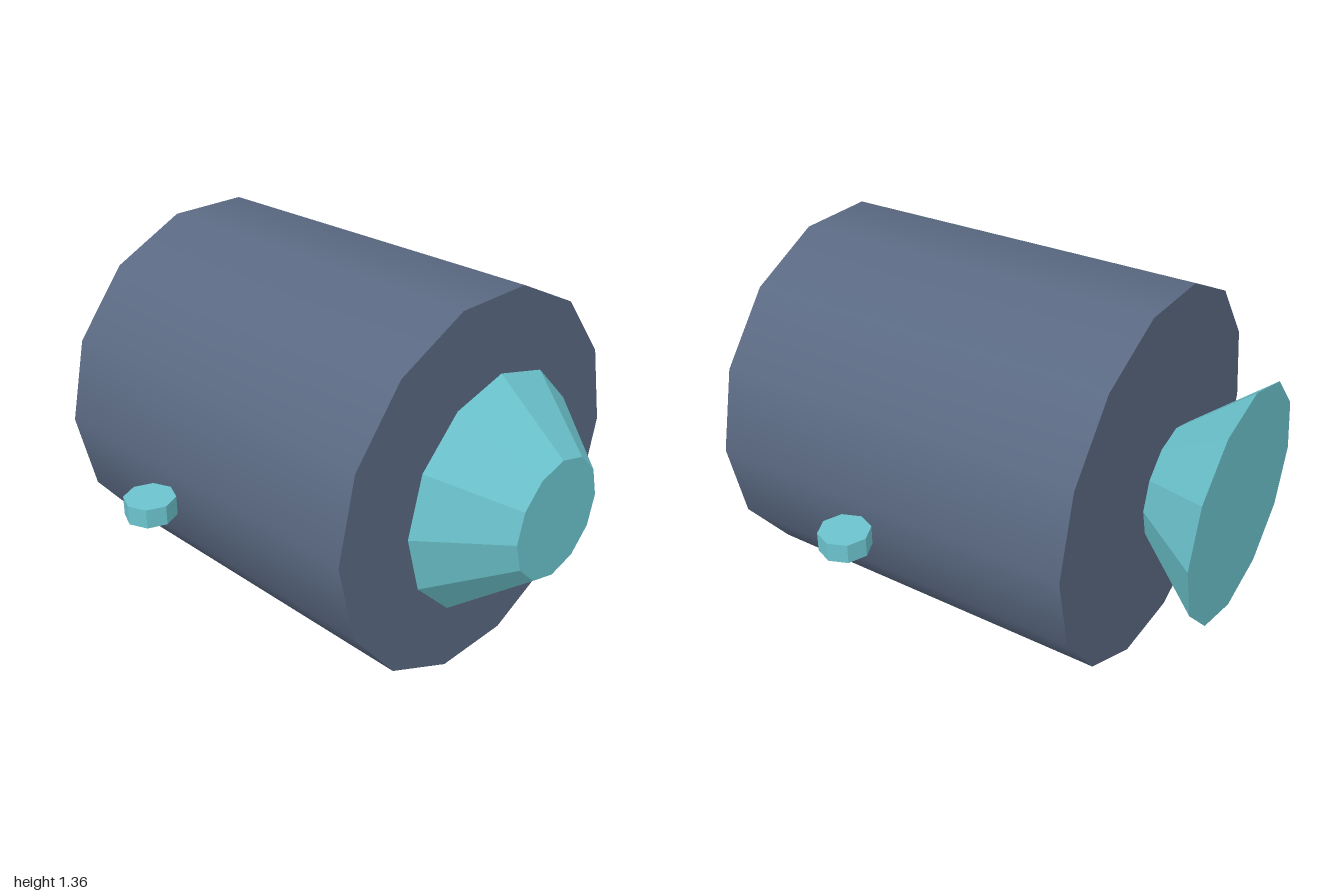
import * as THREE from 'three';

export function createModel() {
  const model = new THREE.Group();
  const slate = new THREE.MeshStandardMaterial({ color: 0x5a6982, name: 'slate blue' });
  const teal = new THREE.MeshStandardMaterial({ color: 0x6cc4ce, name: 'teal' });
  const axisY = 0.678;

  const add = (name, geometry, material, x, z) => {
    const mesh = new THREE.Mesh(geometry, material);
    mesh.name = name;
    mesh.position.set(x, axisY, z);
    model.add(mesh);
  };

  // Flat normals, one per face
  const faceted = (geometry) => {
    const flat = geometry.toNonIndexed();
    flat.computeVertexNormals();
    return flat;
  };

  // Drum lying along x, smooth around its side
  add('body', new THREE.CylinderGeometry(0.695, 0.695, 1.39, 14).rotateZ(-Math.PI / 2), slate, 0, 0);

  // Faceted end cones, both narrowing towards +x
  const cone = faceted(new THREE.CylinderGeometry(0.216, 0.432, 0.26, 12).rotateZ(-Math.PI / 2));
  add('leftCone', cone, teal, 0.87, 0);
  add('rightCone', cone, teal, -0.87, 0);

  // Small floating discs in front and behind
  const disc = faceted(new THREE.CylinderGeometry(0.087, 0.087, 0.068, 8));
  add('frontDisc', disc, teal, 0, 0.869);
  add('backDisc', disc, teal, 0, -0.869);

  return model;
}
